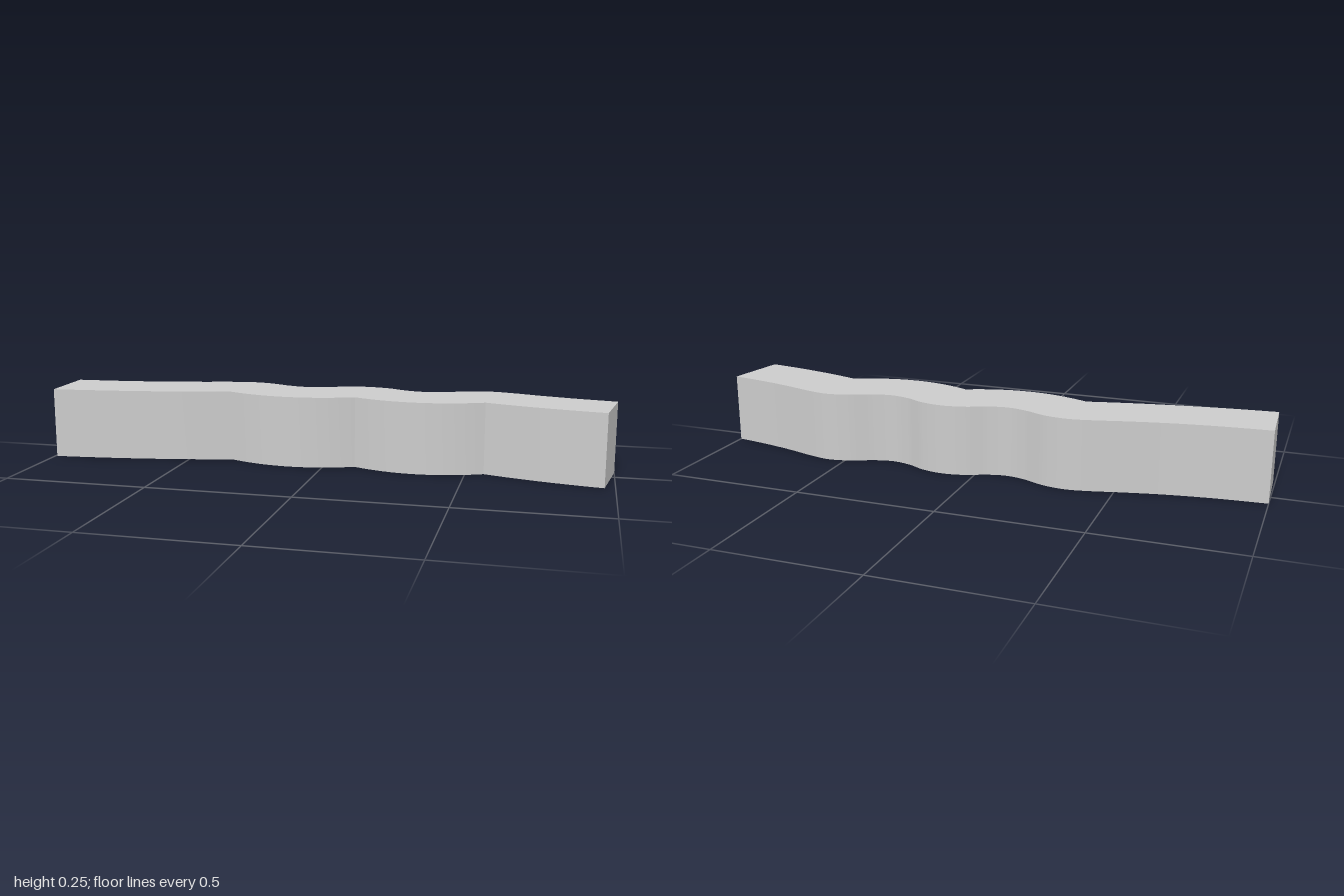
import * as THREE from 'three';
import { toCreasedNormals } from 'three/addons/utils/BufferGeometryUtils.js';

export function createModel() {
  const group = new THREE.Group();
  group.name = 'wavyBar';

  // Plan outline, drawn as (x, -z)
  const shape = new THREE.Shape();
  shape.moveTo(-0.993, -0.161);

  // Front edge: scalloped arcs meeting at sharp creases [control x, z, end x, z]
  const scallops = [
    [-0.66, 0.138, -0.345, 0.06],
    [-0.117, 0.17, 0.11, 0.065],
    [0.335, 0.174, 0.563, 0.062],
    [0.75, 0.125, 0.965, 0.155],
  ];
  for (const [cx, cz, x, z] of scallops) shape.quadraticCurveTo(cx, -cz, x, -z);

  // Slanted end, then the smooth wavy back edge
  shape.lineTo(1, 0.063);
  const back = [
    [0.87, 0.087], [0.75, 0.116], [0.64, 0.149], [0.56, 0.163], [0.48, 0.148],
    [0.4, 0.115], [0.33, 0.101], [0.26, 0.115], [0.19, 0.147], [0.11, 0.16],
    [0.03, 0.147], [-0.04, 0.118], [-0.11, 0.105], [-0.18, 0.119],
    [-0.26, 0.152], [-0.34, 0.163], [-0.42, 0.151], [-0.53, 0.124],
    [-0.67, 0.095], [-0.83, 0.073], [-1, 0.06],
  ];
  shape.splineThru(back.map(([x, y]) => new THREE.Vector2(x, y)));
  shape.closePath();

  // Extrude upwards, smoothing the waves but keeping the creases
  const solid = new THREE.ExtrudeGeometry(shape, {
    depth: 0.25, bevelEnabled: false, curveSegments: 16,
  });
  solid.rotateX(-Math.PI / 2);
  const bar = new THREE.Mesh(
    toCreasedNormals(solid, 0.35),
    new THREE.MeshStandardMaterial({ color: 0xcccccc }),
  );
  bar.name = 'bar';
  group.add(bar);
  return group;
}
